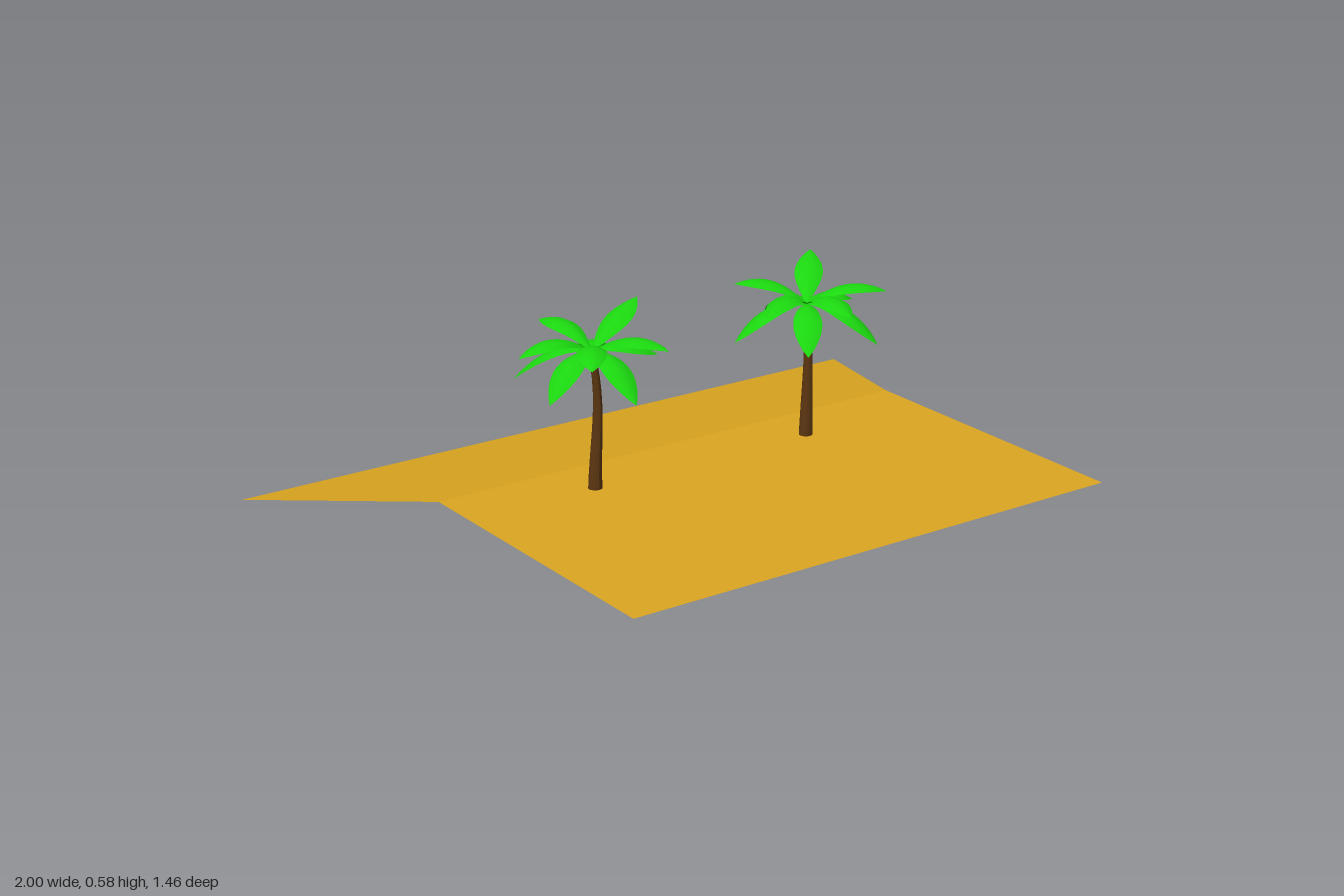
import * as THREE from 'three';

const sandMat = new THREE.MeshStandardMaterial({ color: 0xdaa520, side: THREE.DoubleSide });
const leafMat = new THREE.MeshStandardMaterial({ color: 0x1bd60f, side: THREE.DoubleSide });
const barkMat = new THREE.MeshStandardMaterial({ color: 0x5a3510 });

const GROUND = 0.12;

// Fronds: [angle in degrees from +x towards +z, reach, middle control height, tip height]
const FRONDS = [
  [-20, 0.195, 0.57, 0.585], [-56, 0.2, 0.53, 0.41],
  [-99, 0.2, 0.58, 0.53], [-135, 0.205, 0.53, 0.405],
  [-171, 0.2, 0.575, 0.5], [156, 0.195, 0.53, 0.405],
  [123, 0.205, 0.575, 0.505], [91, 0.205, 0.53, 0.405],
  [60, 0.215, 0.575, 0.52], [23, 0.17, 0.53, 0.47],
];

// Four-sided strip whose corners are given front-left, front-right, back-right, back-left
function quad(name, corners) {
  const g = new THREE.BufferGeometry();
  g.setAttribute('position', new THREE.Float32BufferAttribute(corners.flat(), 3));
  g.setIndex([0, 1, 2, 0, 2, 3]);
  g.computeVertexNormals();
  const mesh = new THREE.Mesh(g, sandMat);
  mesh.name = name;
  return mesh;
}

// Arched leaf swept along a curve, with its edges folded down
function frondGeometry(reach, middle, tip) {
  const path = new THREE.QuadraticBezierCurve(
    new THREE.Vector2(0, 0.49), new THREE.Vector2(reach * 0.5, middle), new THREE.Vector2(reach, tip));
  const g = new THREE.PlaneGeometry(1, 1, 12, 4);
  const pos = g.attributes.position;
  for (let i = 0; i < pos.count; i++) {
    const t = THREE.MathUtils.clamp(pos.getX(i) + 0.5, 0, 1);
    const side = pos.getY(i) * -2;
    const p = path.getPoint(t);
    const half = 0.003 * (1 - t) + 0.037 * Math.pow(Math.max(0, Math.sin(Math.PI * Math.pow(t, 1.25))), 0.85);
    pos.setXYZ(i, p.x, p.y - 0.35 * half * side * side, half * side);
  }
  g.computeVertexNormals();
  return g;
}

// Tapered trunk, bowed slightly to one side
function trunkGeometry() {
  const g = new THREE.CylinderGeometry(1, 1, 1, 10, 10);
  const pos = g.attributes.position;
  for (let i = 0; i < pos.count; i++) {
    const t = THREE.MathUtils.clamp(pos.getY(i) + 0.5, 0, 1);
    const r = 0.0095 + 0.0095 * Math.pow(1 - t, 1.3);
    const bow = 0.014 * Math.sin(Math.PI * Math.pow(t, 1.5)) - 0.005 * t;
    pos.setXYZ(i, pos.getX(i) * r + bow, GROUND + t * 0.37, pos.getZ(i) * r);
  }
  g.computeVertexNormals();
  return g;
}

function palm(name, x, turn) {
  const tree = new THREE.Group();
  tree.name = name;
  const trunk = new THREE.Mesh(trunkGeometry(), barkMat);
  trunk.name = 'trunk';
  tree.add(trunk);

  const crown = new THREE.Group();
  crown.name = 'crown';
  crown.position.x = -0.004;
  FRONDS.forEach(([angle, reach, middle, tip], i) => {
    const frond = new THREE.Mesh(frondGeometry(reach, middle, tip), leafMat);
    frond.name = `frond${i + 1}`;
    frond.rotation.y = -THREE.MathUtils.degToRad(angle);
    crown.add(frond);
  });
  tree.add(crown);
  tree.position.x = x;
  tree.rotation.y = THREE.MathUtils.degToRad(turn);
  return tree;
}

export function createModel() {
  const model = new THREE.Group();
  model.name = 'beachWithPalms';
  const w = 0.73, bend = -0.15, back = -0.73;

  // Level sand, then the flared slope running down behind it
  model.add(
    quad('levelSand', [[-w, GROUND, 0.73], [w, GROUND, 0.73], [w, GROUND, bend], [-w, GROUND, bend]]),
    quad('slopingSand', [[-w, GROUND, bend], [w, GROUND, bend], [1, 0, back], [-1, 0, back]]),
    palm('rightPalm', -0.354, 0),
    palm('leftPalm', 0.327, 30),
  );
  return model;
}
